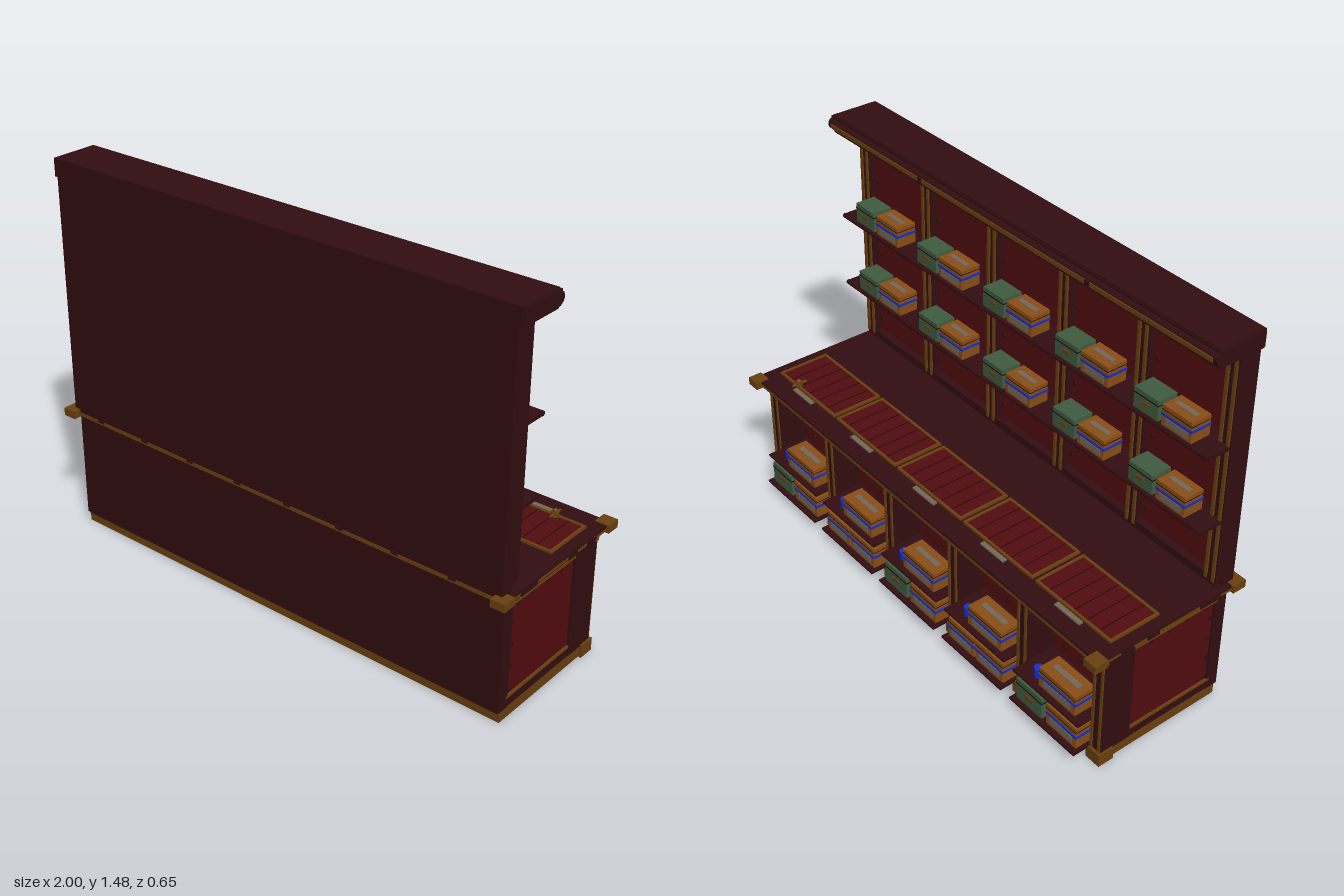
import * as THREE from 'three';

const mat = (name, color) => {
  const m = new THREE.MeshStandardMaterial({ color });
  m.name = name;
  return m;
};

export function createModel() {
  const root = new THREE.Group();
  root.name = 'shopCounter';
  const wood = mat('dark mahogany', 0x320d10);
  const shade = mat('shadow wood', 0x1c0809);
  const red = mat('red panel', 0x520c10);
  const gold = mat('old brass', 0x6a400f);
  const green = mat('green tin', 0x3f5c40);
  const card = mat('cardboard', 0x8a4e16);
  const blue = mat('blue band', 0x1030d0);
  const grey = mat('grey label', 0x75685c);
  const lamp = mat('lamp glass', 0x77705a);

  // Box given by its minimum and maximum on each axis
  const box = (name, m, x0, x1, y0, y1, z0, z1, parent = root) => {
    const mesh = new THREE.Mesh(new THREE.BoxGeometry(x1 - x0, y1 - y0, z1 - z0), m);
    mesh.position.set((x0 + x1) / 2, (y0 + y1) / 2, (z0 + z1) / 2);
    mesh.name = name;
    parent.add(mesh);
    return mesh;
  };
  const cyl = (name, m, r, h, x, y, z, axis = 'y', seg = 12) => {
    const g = new THREE.CylinderGeometry(r, r, h, seg);
    if (axis === 'x') g.rotateZ(Math.PI / 2);
    if (axis === 'z') g.rotateX(Math.PI / 2);
    const mesh = new THREE.Mesh(g, m);
    mesh.position.set(x, y, z);
    mesh.name = name;
    root.add(mesh);
    return mesh;
  };
  const stud = (m, x, y, z, axis) => cyl('stud', m, 0.008, 0.008, x, y, z, axis, 6);

  // Cardboard box with a blue band and grey labels
  const cardBox = (x, y, z, w, h, d) => {
    const g = new THREE.Group();
    g.name = 'cardboardBox';
    g.position.set(x, y, z);
    const a = w / 2, b = d / 2, e = 0.002;
    box('carton', card, -a, a, 0, h, -b, b, g);
    box('band', blue, -a - e, a + e, h * 0.5, h * 0.62, -b - e, b + e, g);
    box('frontLabel', grey, -a * 0.75, a * 0.75, h * 0.14, h * 0.46, -b - e, -b, g);
    box('topTape', grey, -a * 0.7, a * 0.7, h, h + e, -b * 0.2, b * 0.3, g);
    box('lidSeam', shade, -a - e / 2, a + e / 2, h * 0.78, h * 0.81, -b - e / 2, b + e / 2, g);
    root.add(g);
  };
  // Green tin with a lid seam and small handle
  const tin = (x, y, z, w, h, d) => {
    const g = new THREE.Group();
    g.name = 'greenTin';
    g.position.set(x, y, z);
    const a = w / 2, b = d / 2, e = 0.002;
    box('tinBody', green, -a, a, 0, h, -b, b, g);
    box('lidSeam', shade, -a - e, a + e, h * 0.74, h * 0.78, -b - e, b + e, g);
    box('tinHandle', gold, -a * 0.3, a * 0.3, h * 0.4, h * 0.55, -b - 0.004, -b, g);
    root.add(g);
  };

  // Plinth and counter body, open towards -z
  box('plinth', gold, -0.965, 0.965, 0, 0.042, -0.24, 0.27);
  box('counterBody', wood, -0.955, 0.955, 0.04, 0.477, -0.13, 0.28);
  box('cavityFloor', wood, -0.955, 0.955, 0.04, 0.05, -0.25, -0.13);
  box('topRail', wood, -0.955, 0.955, 0.45, 0.477, -0.25, -0.13);
  box('topRailTrim', gold, -0.95, 0.95, 0.455, 0.465, -0.254, -0.25);

  // Counter ends: framed red panels
  for (const s of [-1, 1]) {
    const end = (name, m, a, b, y0, y1, z0, z1) =>
      box(name, m, Math.min(s * a, s * b), Math.max(s * a, s * b), y0, y1, z0, z1);
    end('endWall', wood, 0.93, 0.955, 0.045, 0.477, -0.25, -0.13);
    end('endPanel', red, 0.955, 0.96, 0.08, 0.445, -0.17, 0.23);
    end('endStileRear', wood, 0.95, 0.967, 0.042, 0.477, 0.23, 0.28);
    end('endStileFront', wood, 0.95, 0.967, 0.042, 0.46, -0.25, -0.165);
    end('endRailTop', wood, 0.95, 0.965, 0.445, 0.477, -0.165, 0.23);
    end('endRailBottom', wood, 0.95, 0.965, 0.042, 0.078, -0.165, 0.23);
    end('endTrimTop', gold, 0.955, 0.968, 0.436, 0.445, -0.165, 0.24);
    end('endTrimBottom', gold, 0.955, 0.968, 0.078, 0.087, -0.165, 0.24);
    end('postCap', gold, 0.93, 0.972, 0.46, 0.477, -0.255, -0.195);
    for (let i = 0; i < 4; i++) stud(wood, s * 0.96, 0.1 + i * 0.09, 0.217, 'x');
    for (let i = 0; i < 5; i++) stud(wood, s * 0.96, 0.425, -0.13 + i * 0.08, 'x');
    // Brass corner blocks of the counter top
    end('cornerBlock', gold, 0.945, 1, 0.473, 0.503, 0.275, 0.33);
    end('cornerBlock', gold, 0.945, 1, 0.473, 0.503, -0.325, -0.27);
    for (const z of [-0.18, -0.07, 0.16, 0.2])
      end('edgeClip', wood, 0.985, 0.992, 0.476, 0.492, z - 0.025, z + 0.025);
  }

  // Counter top with a brass edge
  box('counterTop', wood, -0.99, 0.99, 0.491, 0.5, -0.3, 0.3);
  box('counterEdge', gold, -0.988, 0.988, 0.477, 0.491, -0.3, 0.302);
  for (let i = 0; i < 8; i++) {
    const x = -0.83 + i * 0.23;
    box('edgeClip', wood, x - 0.015, x + 0.015, 0.485, 0.494, 0.298, 0.304);
  }

  // Lower columns with brass strips and feet
  for (let i = 0; i < 6; i++) {
    const x = (i - 2.5) * 0.378;
    box('lowerColumn', wood, x - 0.024, x + 0.024, 0.045, 0.46, -0.252, -0.125);
    for (const s of [-1, 1])
      box('columnStrip', gold, x + s * 0.018 - 0.005, x + s * 0.018 + 0.005, 0.05, 0.46, -0.257, -0.25);
    box('columnFoot', gold, x - 0.032, x + 0.032, 0, 0.05, -0.263, -0.2);
    box('columnCap', gold, x - 0.028, x + 0.028, 0.445, 0.475, -0.258, -0.24);
  }

  // Rear wall and cornice
  box('wallBack', wood, -0.97, 0.97, 0.5, 1.42, 0.25, 0.3);
  box('wallSill', wood, -0.965, 0.965, 0.515, 0.545, 0.215, 0.255);
  box('wallHead', wood, -0.965, 0.965, 1.37, 1.42, 0.215, 0.255);
  box('cornice', wood, -0.982, 0.982, 1.41, 1.478, 0.115, 0.3);
  box('corniceLip', wood, -0.988, 0.988, 1.42, 1.474, 0.11, 0.295);
  cyl('corniceRoll', wood, 0.022, 1.976, 0, 1.445, 0.117, 'x', 16);
  box('corniceTrim', gold, -0.97, 0.97, 1.437, 1.452, 0.092, 0.11);
  for (const x of [-0.43, 0.43]) box('trimJoint', wood, x - 0.01, x + 0.01, 1.434, 1.455, 0.09, 0.11);

  // Wall columns
  for (let i = 0; i < 6; i++) {
    const x = (i - 2.5) * 0.377;
    box('wallColumn', wood, x - 0.027, x + 0.027, 0.52, 1.41, 0.217, 0.255);
    for (const s of [-1, 1])
      box('wallColumnStrip', gold, x + s * 0.016 - 0.006, x + s * 0.016 + 0.006, 0.53, 1.405, 0.211, 0.22);
  }
  // Long wall shelves
  for (const y of [0.772, 1.062]) {
    box('wallShelf', wood, -0.965, 0.965, y, y + 0.014, 0.13, 0.25);
    cyl('wallShelfNosing', wood, 0.009, 1.93, 0, y + 0.007, 0.13, 'x', 10);
  }

  // Five bays
  for (let i = 0; i < 5; i++) {
    const x = (2 - i) * 0.378;

    // Wall panel, studs, lamp and goods
    box('wallPanel', red, x - 0.165, x + 0.165, 0.545, 1.37, 0.244, 0.25);
    for (const s of [-1, 1])
      for (let j = 0; j < 8; j++) stud(wood, x + s * 0.145, 0.6 + j * 0.1, 0.242, 'z');
    cyl('lampRim', gold, 0.034, 0.008, x, 1.407, 0.165, 'y', 20);
    cyl('lampGlass', lamp, 0.027, 0.01, x, 1.405, 0.165, 'y', 20);
    for (const y of [0.786, 1.076]) {
      tin(x + 0.075, y, 0.172, 0.11, 0.077, 0.08);
      cardBox(x - 0.062, y, 0.172, 0.13, 0.078, 0.08);
    }

    // Studded back of the lower bay
    box('bayPanel', red, x - 0.165, x + 0.165, 0.05, 0.45, -0.136, -0.13);
    for (let r = 0; r < 4; r++)
      for (let c = 0; c < 4; c++)
        stud(wood, x + (c - 1.5) * 0.08 + (r % 2 ? 0.02 : -0.02), 0.22 + r * 0.06, -0.138, 'z');

    // Lower shelves and goods
    box('lowerShelf', wood, x - 0.165, x + 0.165, 0.044, 0.052, -0.325, -0.13);
    box('upperShelf', wood, x - 0.165, x + 0.165, 0.166, 0.174, -0.312, -0.13);
    if (i % 2) cardBox(x + 0.08, 0.052, -0.26, 0.14, 0.085, 0.085);
    else tin(x + 0.085, 0.052, -0.26, 0.13, 0.09, 0.09);
    cardBox(x - 0.075, 0.052, -0.26, 0.15, 0.088, 0.085);
    cardBox(x - 0.035, 0.174, -0.248, 0.18, 0.082, 0.085);
    cyl('blueJar', blue, 0.018, 0.035, x + 0.09, 0.1915, -0.26);

    // Inlaid planked panel with brass border on the counter top
    const w = 0.178, u = x * 1.01;
    box('inlay', red, u - w, u + w, 0.5, 0.505, -0.21, -0.01);
    for (const z of [-0.21, -0.01])
      box('inlayBorder', gold, u - w - 0.005, u + w + 0.005, 0.5, 0.509, z - 0.005, z + 0.005);
    for (const s of [-1, 1])
      box('inlayBorder', gold, u + s * w - 0.005, u + s * w + 0.005, 0.5, 0.509, -0.21, -0.01);
    for (let j = -2; j <= 2; j++)
      box('plankGroove', shade, u + j * 0.06 - 0.0015, u + j * 0.06 + 0.0015, 0.505, 0.506, -0.205, -0.015);
    box('namePlate', grey, u - 0.06, u + 0.06, 0.5, 0.506, -0.238, -0.22);
  }

  // Small brass tap on the counter
  cyl('tapBase', gold, 0.014, 0.022, 0.83, 0.512, -0.205);
  cyl('tapBar', gold, 0.005, 0.06, 0.83, 0.515, -0.205, 'z', 8);
  const knob = new THREE.Mesh(new THREE.SphereGeometry(0.009, 10, 8), gold);
  knob.name = 'tapKnob';
  knob.position.set(0.83, 0.526, -0.205);
  root.add(knob);

  return root;
}
